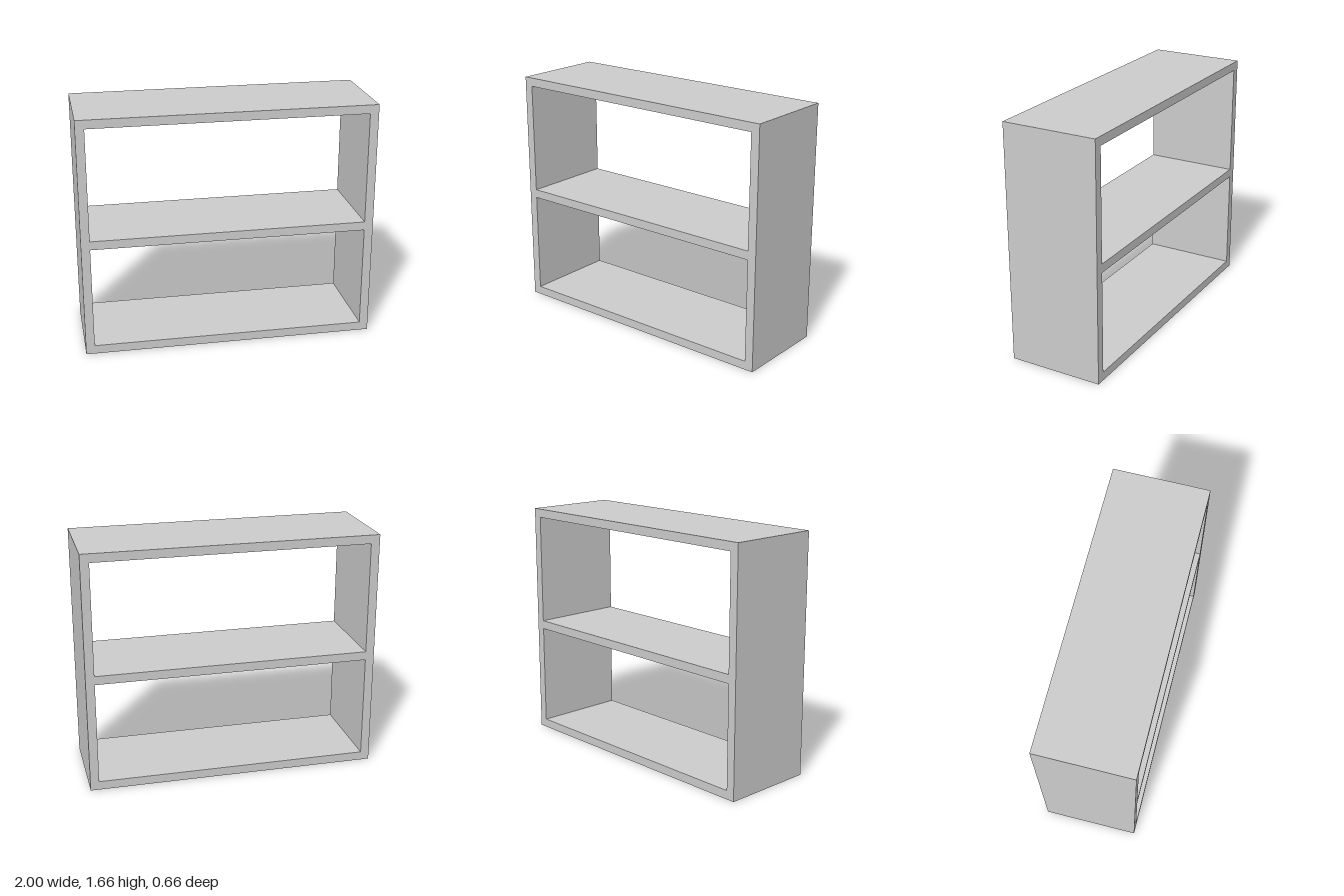
import * as THREE from 'three';

const WIDTH = 2, HEIGHT = 1.66, DEPTH = 0.66, BOARD = 0.06;
const SHELF_BOTTOM = 0.77;

// Rectangle from corner to corner, as a Shape or a Path
function rectangle(Type, x0, y0, x1, y1) {
  return new Type([[x0, y0], [x1, y0], [x1, y1], [x0, y1]].map(([x, y]) => new THREE.Vector2(x, y)));
}

export function createModel() {
  const group = new THREE.Group();
  group.name = 'shelfUnit';

  // Outer case, with one open bay below the middle shelf and one above it
  const outline = rectangle(THREE.Shape, -WIDTH / 2, 0, WIDTH / 2, HEIGHT);
  const inner = WIDTH / 2 - BOARD;
  const bays = [[BOARD, SHELF_BOTTOM], [SHELF_BOTTOM + BOARD, HEIGHT - BOARD]];
  for (const [bottom, top] of bays) {
    outline.holes.push(rectangle(THREE.Path, -inner, bottom, inner, top));
  }

  // Sides, top, bottom and shelf are one seamless body, open front and back
  const geometry = new THREE.ExtrudeGeometry(outline, { depth: DEPTH, bevelEnabled: false });
  geometry.translate(0, 0, -DEPTH / 2);

  const body = new THREE.Mesh(geometry, new THREE.MeshStandardMaterial({ color: 0xcccccc }));
  body.name = 'caseWithMiddleShelf';
  group.add(body);
  return group;
}
